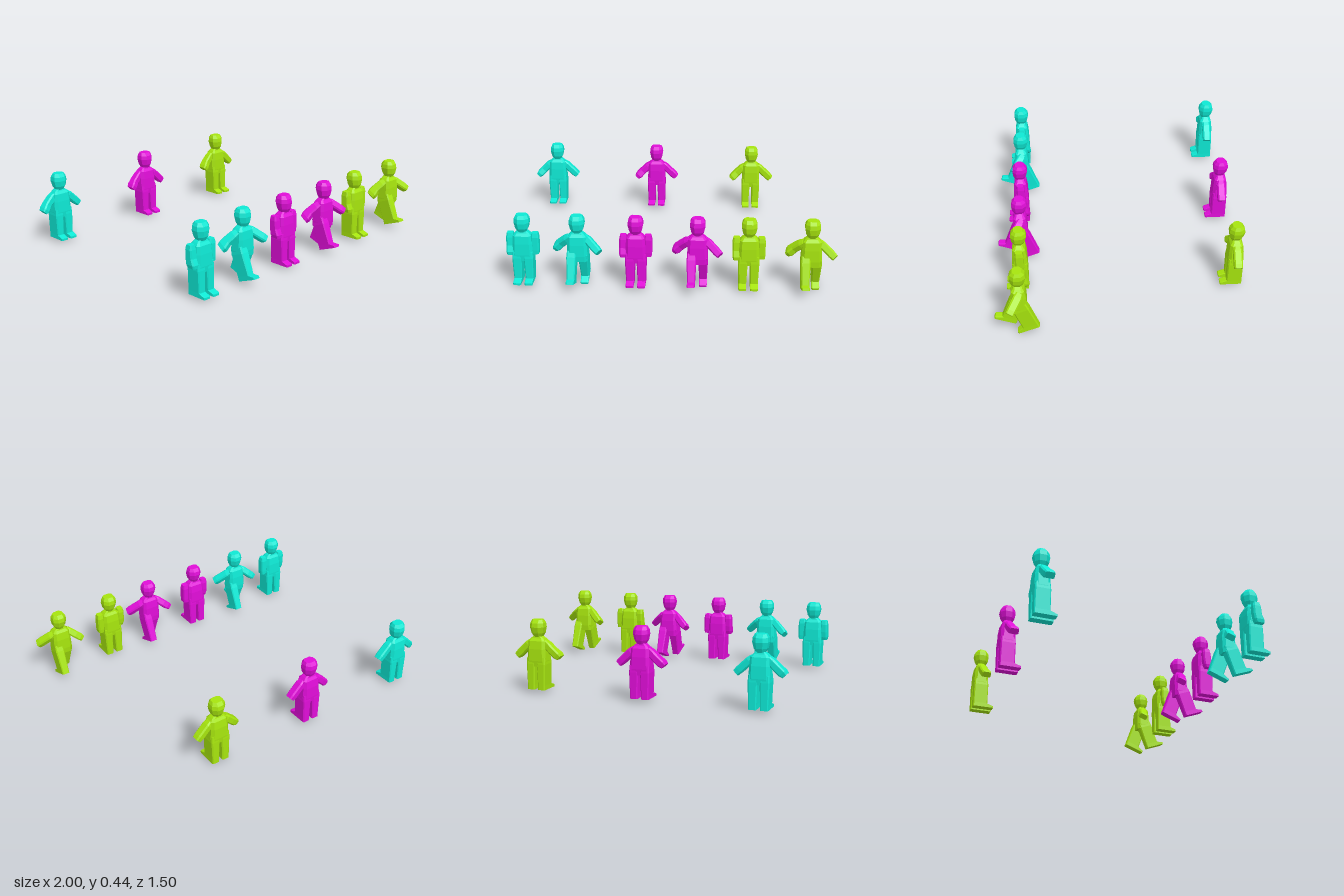
import * as THREE from 'three';

// Stack of bevelled rectangles, bottom to top. Row: [y, width, zBack, zFront]
function loft(rows, bevel = 0.25) {
  const pos = [], idx = [];
  for (const [y, w, z0, z1] of rows) {
    const hx = w / 2, hz = (z1 - z0) / 2, zc = (z0 + z1) / 2;
    const b = Math.min(hx, hz) * 2 * bevel;
    const ring = [
      [hx, -hz + b], [hx, hz - b], [hx - b, hz], [-hx + b, hz],
      [-hx, hz - b], [-hx, -hz + b], [-hx + b, -hz], [hx - b, -hz],
    ];
    for (const [x, z] of ring) pos.push(x, y, z + zc);
  }
  const top = (rows.length - 1) * 8;
  for (let i = 0; i < rows.length - 1; i++) {
    for (let j = 0; j < 8; j++) {
      const k = (j + 1) % 8;
      const a = i * 8 + j, b = i * 8 + k, c = b + 8, d = a + 8;
      idx.push(a, d, b, b, d, c);
    }
  }
  for (let j = 1; j < 7; j++) {
    idx.push(0, j, j + 1);
    idx.push(top, top + j + 1, top + j);
  }
  const geo = new THREE.BufferGeometry();
  geo.setAttribute('position', new THREE.Float32BufferAttribute(pos, 3));
  geo.setIndex(idx);
  geo.computeVertexNormals();
  return geo;
}

const HIP = 0.22;
const DOWN = new THREE.Vector3(0, -1, 0);

const shapes = () => ({
  head: loft([
    [0.342, 0.05, -0.025, 0.03],
    [0.365, 0.075, -0.037, 0.043],
    [0.4, 0.09, -0.046, 0.048],
    [0.425, 0.085, -0.042, 0.044],
    [0.445, 0.066, -0.026, 0.028],
  ], 0.28),
  torso: loft([
    [0.165, 0.118, -0.042, 0.044],
    [0.2, 0.122, -0.045, 0.047],
    [0.27, 0.116, -0.043, 0.045],
    [0.318, 0.108, -0.036, 0.04],
    [0.334, 0.08, -0.025, 0.028],
    [0.35, 0.04, -0.02, 0.022],
  ], 0.18),
  // Leg and its forward foot, measured from the hip
  leg: loft([
    [-0.195, 0.046, -0.045, 0.088],
    [-0.182, 0.046, -0.045, 0.088],
    [-0.168, 0.046, -0.045, 0.048],
    [-0.04, 0.056, -0.045, 0.048],
    [0.0, 0.05, -0.042, 0.044],
  ], 0.12),
  // Arms hang from the shoulder
  leftArm: loft([
    [-0.115, 0.04, -0.024, 0.024],
    [-0.09, 0.046, -0.026, 0.026],
    [-0.01, 0.046, -0.026, 0.026],
    [0.016, 0.036, -0.02, 0.02],
  ], 0.18),
  rightArm: loft([
    [-0.115, 0.036, -0.012, 0.042],
    [-0.095, 0.046, -0.02, 0.044],
    [-0.06, 0.046, -0.025, 0.03],
    [-0.01, 0.046, -0.026, 0.026],
    [0.016, 0.036, -0.02, 0.02],
  ], 0.18),
});

// Shoulder position, arm directions and leg swing of each pose
const POSES = {
  standing: { shoulder: [0.073, 0.315], left: [0, -1, 0], right: [0, -1, 0], swing: 0 },
  armsOut: { shoulder: [0.054, 0.3], left: [0.72, -0.7, 0], right: [-0.72, -0.7, 0], swing: 0 },
  walking: { shoulder: [0.054, 0.3], left: [0.74, -0.62, 0.5], right: [-0.74, -0.64, -0.46], swing: 0.36 },
};

function figure(geo, material, pose) {
  const g = new THREE.Group();
  const add = (name, geometry) => {
    const m = new THREE.Mesh(geometry, material);
    m.name = name;
    g.add(m);
    return m;
  };
  add('head', geo.head);
  add('torso', geo.torso);
  for (const [side, s] of [['left', 1], ['right', -1]]) {
    const arm = add(side + 'Arm', geo[side + 'Arm']);
    arm.position.set(s * pose.shoulder[0], pose.shoulder[1], 0);
    arm.quaternion.setFromUnitVectors(DOWN, new THREE.Vector3(...pose[side]).normalize());

    const leg = add(side + 'Leg', geo.leg);
    leg.position.set(s * 0.034, HIP, 0);
    leg.rotation.x = s * pose.swing;
  }
  return g;
}

export function createModel() {
  const model = new THREE.Group();
  model.name = 'figures';
  const geo = shapes();
  // Each colour has one figure per pose
  const teams = [
    { name: 'cyan', color: 0x0ee8d4, standing: -0.842, walking: -0.519, armsOut: -0.847 },
    { name: 'magenta', color: 0xe00ed8, standing: -0.175, walking: 0.187, armsOut: -0.143 },
    { name: 'lime', color: 0xa6e40e, standing: 0.487, walking: 0.85, armsOut: 0.522 },
  ];
  for (const team of teams) {
    const material = new THREE.MeshStandardMaterial({ color: team.color, flatShading: true });
    for (const pose of Object.keys(POSES)) {
      const f = figure(geo, material, POSES[pose]);
      f.name = `${team.name} ${pose} figure`;
      f.position.set(team[pose], 0, pose === 'armsOut' ? -0.698 : 0.6);
      model.add(f);
    }
  }
  return model;
}
